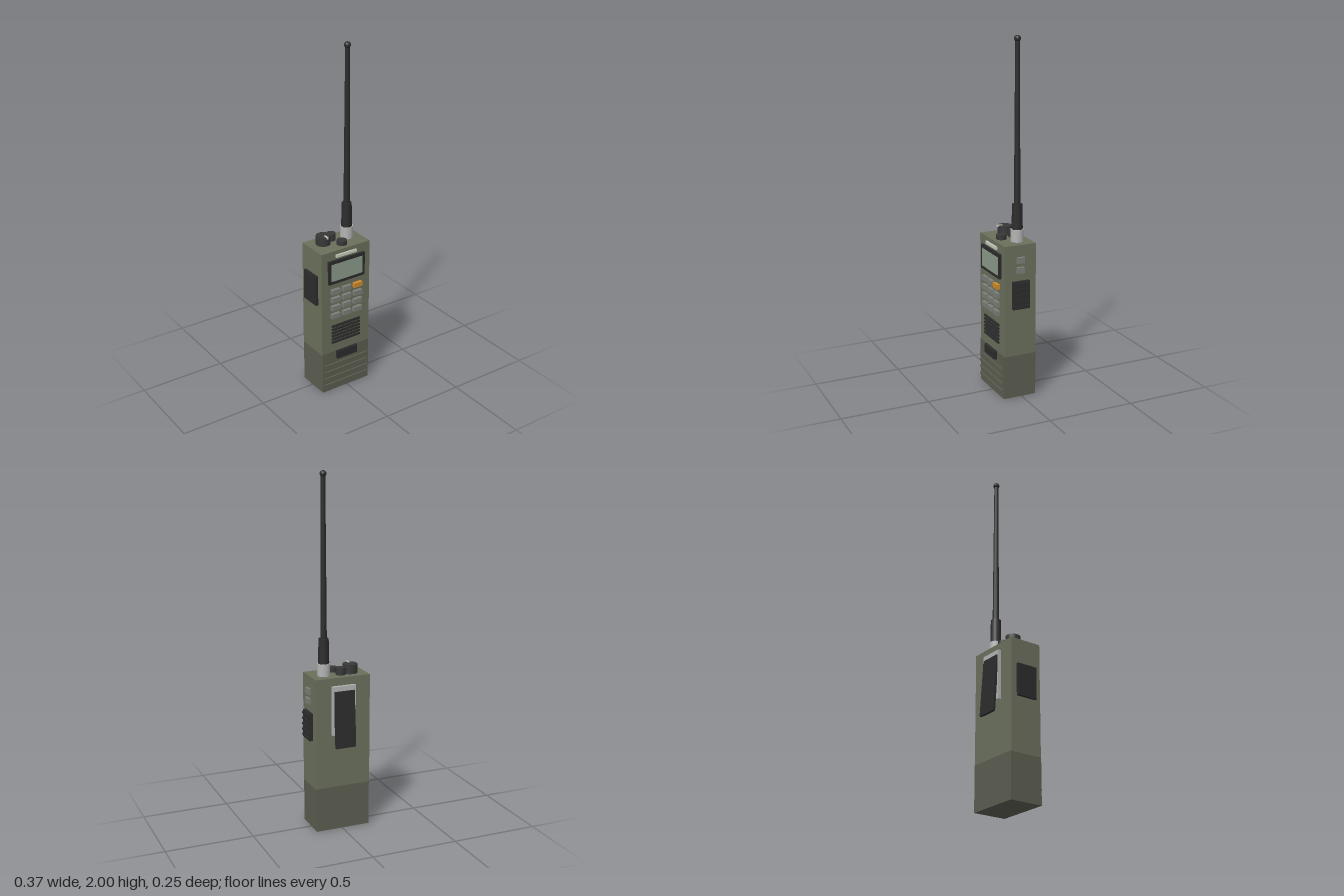
import * as THREE from 'three';

const paint = (color) => new THREE.MeshStandardMaterial({ color });

export function createModel() {
  const radio = new THREE.Group();
  radio.name = 'handheldRadio';
  const olive = paint(0x6b705c), darkOlive = paint(0x5c5e50), black = paint(0x2c2c2c);
  const rubber = paint(0x383838), grey = paint(0x7c7e78), metal = paint(0xb4b4b4);
  const pale = paint(0xc8ccbc), glass = paint(0x8c9c8a), orange = paint(0xd08a2a);

  // Box given by its limits on each axis
  function box(name, [x0, x1], [y0, y1], [z0, z1], material, parent = radio) {
    const mesh = new THREE.Mesh(new THREE.BoxGeometry(x1 - x0, y1 - y0, z1 - z0), material);
    mesh.position.set((x0 + x1) / 2, (y0 + y1) / 2, (z0 + z1) / 2);
    mesh.name = name;
    parent.add(mesh);
    return mesh;
  }
  // Upright cylinder or cone from y0 to y1
  function post(name, x, z, y0, y1, rBottom, rTop, sides, material, parent = radio) {
    const mesh = new THREE.Mesh(new THREE.CylinderGeometry(rTop, rBottom, y1 - y0, sides), material);
    mesh.position.set(x, (y0 + y1) / 2, z);
    mesh.name = name;
    parent.add(mesh);
    return mesh;
  }
  function group(name) {
    const g = new THREE.Group();
    g.name = name;
    radio.add(g);
    return g;
  }

  // Case and battery pack
  box('body', [-0.168, 0.155], [0.25, 0.885], [-0.084, 0.104], olive);
  box('battery', [-0.165, 0.152], [0, 0.255], [-0.087, 0.108], darkOlive);
  const ridges = group('batteryRidges');
  for (let i = 0; i < 4; i++) {
    const y = 0.043 + i * 0.0425;
    box('batteryRidge', [-0.156, 0.142], [y - 0.006, y + 0.006], [0.1, 0.116], darkOlive, ridges);
  }
  box('batteryLatch', [-0.075, 0.062], [0.206, 0.254], [0.1, 0.125], black);

  // Name plate and display
  box('plate', [-0.074, 0.061], [0.845, 0.862], [0.1, 0.114], pale);
  box('displayBezel', [-0.127, 0.113], [0.692, 0.832], [0.1, 0.118], black);
  box('display', [-0.111, 0.097], [0.71, 0.813], [0.11, 0.12], glass);

  // Keypad, with one coloured key
  const keypad = group('keypad');
  for (let row = 0; row < 4; row++) {
    for (let col = 0; col < 3; col++) {
      const x = -0.081 + col * 0.074, y = 0.641 - row * 0.051;
      box('key', [x - 0.028, x + 0.028], [y - 0.014, y + 0.014], [0.1, 0.123],
        row === 0 && col === 2 ? orange : grey, keypad);
    }
  }

  // Speaker slats
  const grille = group('speakerGrille');
  for (let i = 0; i < 6; i++) {
    const y = 0.417 - i * 0.0206;
    box('slat', [-0.102, 0.088], [y - 0.006, y + 0.006], [0.1, 0.113], black, grille);
  }

  // Left side: talk button with ribs, two small buttons
  const talk = group('talkButton');
  box('talkPad', [0.15, 0.175], [0.525, 0.683], [-0.04, 0.061], black, talk);
  for (let i = 0; i < 5; i++) {
    const y = 0.54 + i * 0.032;
    box('talkRib', [0.17, 0.181], [y - 0.006, y + 0.006], [-0.036, 0.057], black, talk);
  }
  for (const y of [0.745, 0.801]) {
    box('sideButton', [0.15, 0.171], [y - 0.017, y + 0.017], [-0.011, 0.033], grey);
  }

  // Right side: socket cover
  box('socketCover', [-0.183, -0.16], [0.56, 0.74], [-0.05, 0.07], black);
  box('socketCoverPanel', [-0.185, -0.175], [0.575, 0.725], [-0.04, 0.06], black);

  // Belt clip, leaning away from the back
  box('clipMount', [-0.075, 0.062], [0.56, 0.84], [-0.102, -0.08], metal);
  const clip = box('beltClip', [-0.067, 0.053], [0.49, 0.812], [-0.118, -0.104], black);
  clip.rotation.x = 0.068;

  // Knobs on top
  post('volumeKnob', -0.081, -0.008, 0.88, 0.937, 0.041, 0.041, 20, rubber);
  box('knobPointer', [-0.085, -0.077], [0.93, 0.942], [0.009, 0.04], pale);
  post('channelKnob', -0.016, -0.027, 0.88, 0.926, 0.027, 0.027, 16, rubber);
  post('socketCap', 0.002, 0.052, 0.88, 0.911, 0.029, 0.029, 14, rubber);

  // Antenna
  const antenna = group('antenna');
  const ax = 0.077, az = -0.008;
  post('antennaConnector', ax, az, 0.88, 0.955, 0.036, 0.036, 20, metal, antenna);
  post('antennaSleeve', ax, az, 0.955, 1.095, 0.031, 0.028, 16, black, antenna);
  post('antennaWhip', ax, az, 1.09, 1.98, 0.018, 0.012, 12, black, antenna);
  const tip = new THREE.Mesh(new THREE.SphereGeometry(0.018, 12, 10), black);
  tip.name = 'antennaTip';
  tip.position.set(ax, 1.982, az);
  antenna.add(tip);

  return radio;
}
